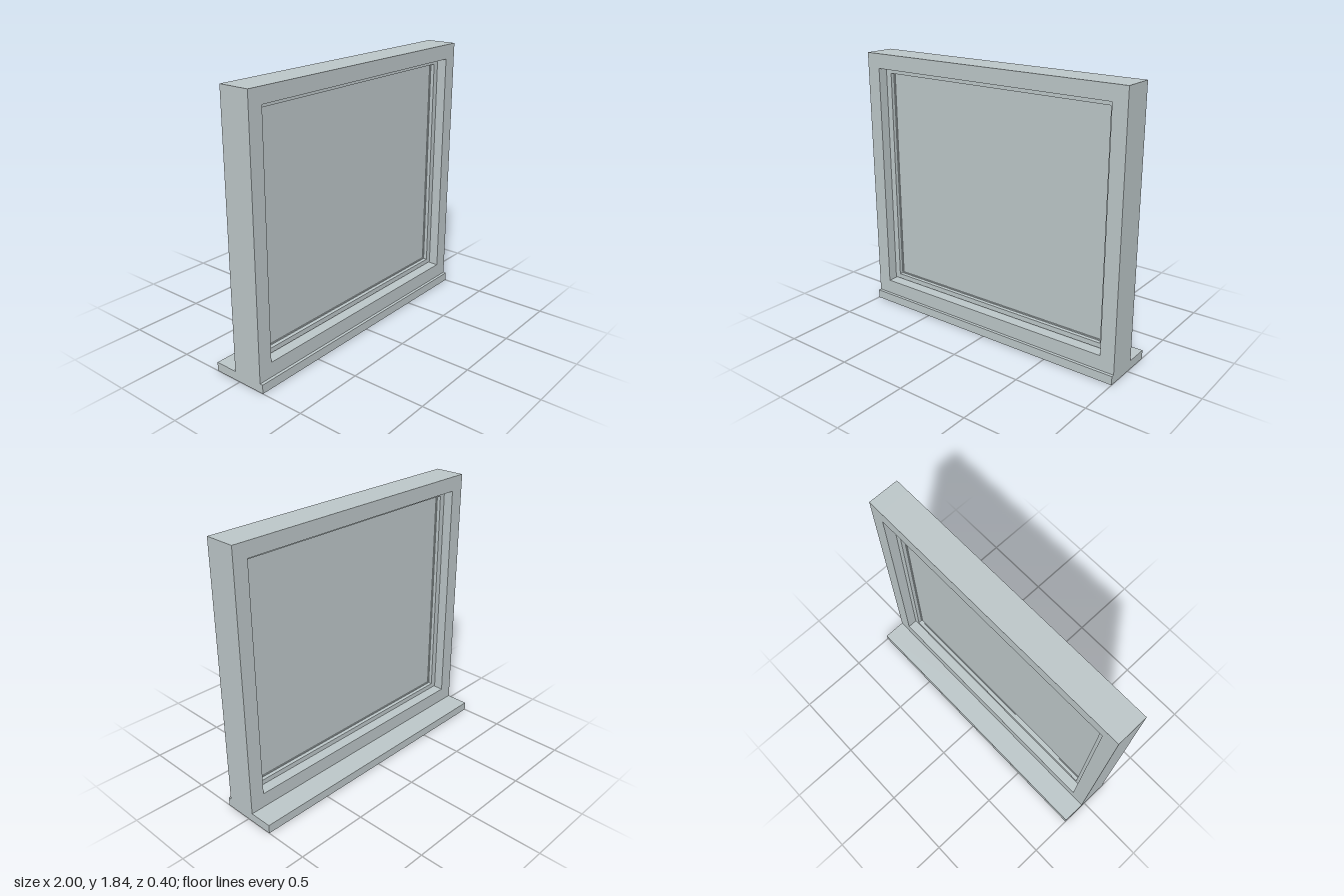
import * as THREE from 'three';

export function createModel() {
  const model = new THREE.Group();
  model.name = 'window';
  const paint = new THREE.MeshStandardMaterial({ color: 0xbcc6c8 });
  paint.name = 'pale grey';

  // Box given by its limits on each axis
  function box(name, [x0, x1], [y0, y1], [z0, z1], parent = model) {
    const mesh = new THREE.Mesh(new THREE.BoxGeometry(x1 - x0, y1 - y0, z1 - z0), paint);
    mesh.position.set((x0 + x1) / 2, (y0 + y1) / 2, (z0 + z1) / 2);
    mesh.name = name;
    parent.add(mesh);
  }

  // Rectangular surround: full-height sides with rails fitted between them
  function surround(name, halfWidth, [y0, y1], [sideWidth, railHeight], z) {
    const group = new THREE.Group();
    group.name = name;
    const inner = halfWidth - sideWidth;
    box(name + 'LeftSide', [inner, halfWidth], [y0, y1], z, group);
    box(name + 'RightSide', [-halfWidth, -inner], [y0, y1], z, group);
    box(name + 'BottomRail', [-inner, inner], [y0, y0 + railHeight], z, group);
    box(name + 'TopRail', [-inner, inner], [y1 - railHeight, y1], z, group);
    model.add(group);
  }

  // Sill, deeper at the back
  box('sill', [-1, 1], [0, 0.06], [-0.198, 0.198]);

  // Outer frame, then the recessed sash with a fine gap above and below
  surround('frame', 1, [0.06, 1.835], [0.1, 0.1], [-0.037, 0.177]);
  surround('sash', 0.9, [0.166, 1.731], [0.043, 0.034], [0.032, 0.108]);

  // Thin seal around the pane
  surround('seal', 0.857, [0.2, 1.697], [0.008, 0.008], [0.058, 0.082]);

  // Pane
  box('pane', [-0.849, 0.849], [0.208, 1.689], [0.064, 0.076]);

  return model;
}
